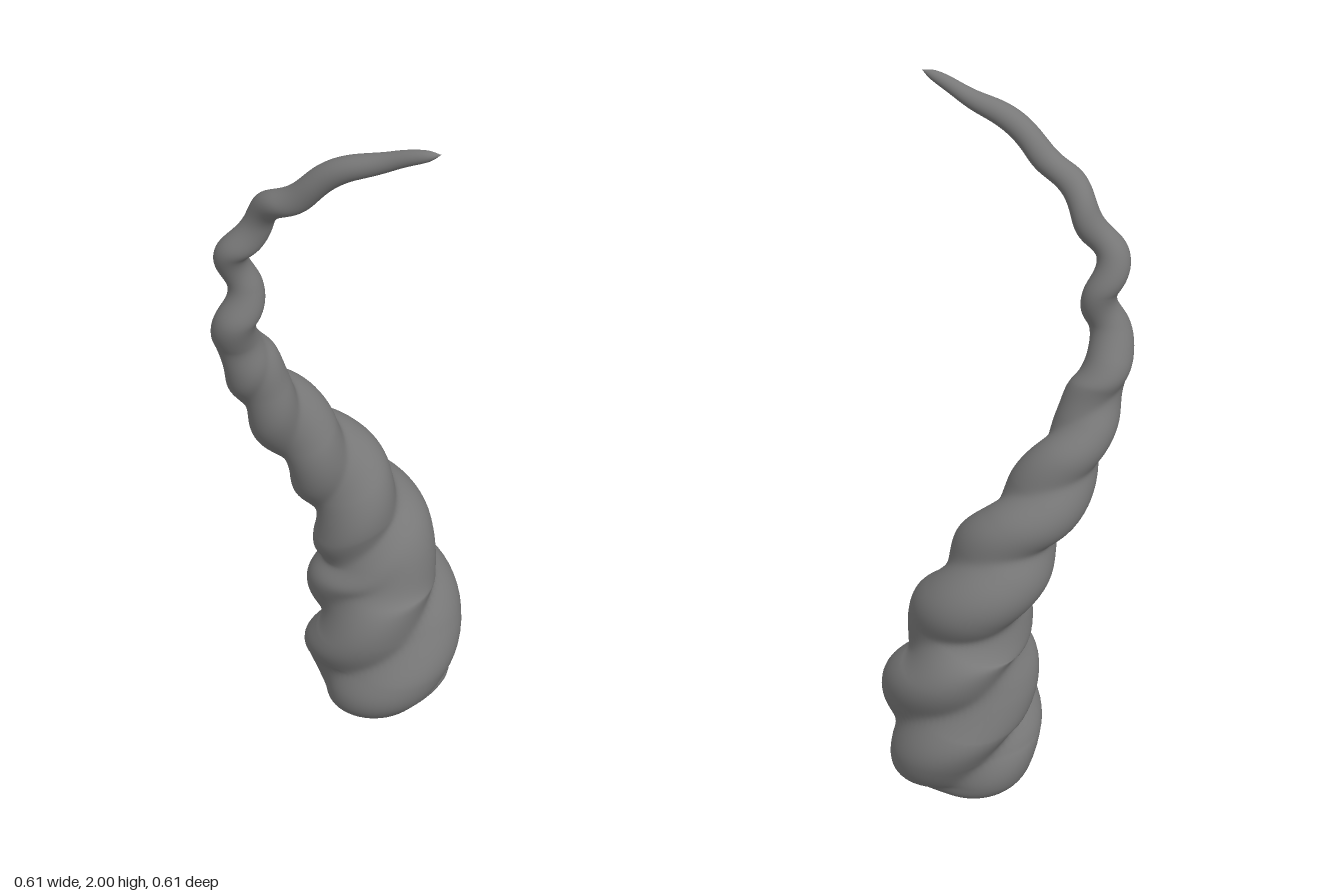
import * as THREE from 'three';

// Horn stations from base to tip: x, y, z of the spine, radius, twist (in ridge turns)
const STATIONS = [
  [0.06, 0.003, 0.01, 0.0, -3.4],
  [0.06, 0.02, 0.008, 0.12, -3.38],
  [0.065, 0.09, 0.005, 0.203, -3.28],
  [0.08, 0.2, 0.01, 0.228, -2.95],
  [0.088, 0.32, 0.005, 0.222, -2.5],
  [0.09, 0.45, -0.02, 0.203, -2],
  [0.088, 0.56, -0.026, 0.174, -1.5],
  [0.076, 0.67, -0.06, 0.161, -1],
  [0.042, 0.785, -0.1, 0.143, -0.5],
  [0.0, 0.88, -0.133, 0.122, 0],
  [-0.05, 0.97, -0.172, 0.112, 0.5],
  [-0.105, 1.07, -0.198, 0.1, 1],
  [-0.152, 1.16, -0.216, 0.084, 1.5],
  [-0.195, 1.26, -0.222, 0.074, 2],
  [-0.212, 1.34, -0.226, 0.062, 2.35],
  [-0.232, 1.42, -0.221, 0.054, 2.6],
  [-0.23, 1.51, -0.202, 0.045, 3],
  [-0.235, 1.62, -0.207, 0.042, 3.5],
  [-0.225, 1.71, -0.15, 0.038, 4],
  [-0.215, 1.79, -0.07, 0.036, 4.5],
  [-0.211, 1.855, 0.01, 0.034, 5],
  [-0.175, 1.92, 0.1, 0.03, 5.5],
  [-0.15, 1.955, 0.19, 0.022, 6],
  [-0.13, 1.985, 0.27, 0.014, 6.4],
  [-0.12, 1.997, 0.305, 0.0, 6.6],
];

const RINGS = 420;
const SIDES = 64;
const { smoothstep } = THREE.MathUtils;

// Rounded ridges with narrow grooves: 0 on a crest, negative in a groove
function ridges(count, a, twist) {
  const c = Math.cos((count / 2) * (a - Math.PI / 2) - twist * Math.PI);
  return Math.sqrt((c * c + 0.04) / 1.04) - 1;
}

function hornGeometry() {
  const curve = (pick) => new THREE.CatmullRomCurve3(
    STATIONS.map((s) => new THREE.Vector3(...pick(s))), false, 'catmullrom', 0.5);
  const spine = curve((s) => [s[0], s[1], s[2]]);
  const profile = curve((s) => [s[3], s[4], 0]);
  const up = new THREE.Vector3(0, 1, 0);
  const turn = new THREE.Quaternion();
  const positions = [];
  const indices = [];

  for (let i = 0; i <= RINGS; i++) {
    const t = i / RINGS;
    const centre = spine.getPoint(t);
    const { x: radius, y: twist } = profile.getPoint(t);
    turn.setFromUnitVectors(up, spine.getTangent(t));
    // Three broad ridges at the base become two, then a single corkscrew
    const middle = smoothstep(centre.y, 0.42, 0.62);
    const upper = smoothstep(centre.y, 1.15, 1.45);
    const base = 0.25 * smoothstep(centre.y, 0, 0.1);
    const fade = 1 - 0.7 * smoothstep(centre.z, -0.15, 0.15);
    const r = Math.max(radius, 0);
    const swing = 0.32 * r * fade * upper;
    const phase = Math.PI / 2 + twist * Math.PI * 2;

    for (let j = 0; j < SIDES; j++) {
      const a = (j / SIDES) * Math.PI * 2;
      const reach = r * (1 + base * (1 - middle) * ridges(3, a, twist)
        + 0.3 * middle * (1 - upper) * ridges(2, a, twist));
      const p = new THREE.Vector3(
        Math.sin(a) * reach + Math.sin(phase) * swing,
        0,
        Math.cos(a) * reach + Math.cos(phase) * swing,
      ).applyQuaternion(turn).add(centre);
      positions.push(p.x, Math.max(p.y, 0), p.z);

      if (i < RINGS) {
        const k = (j + 1) % SIDES;
        const b = i * SIDES;
        const n = b + SIDES;
        indices.push(b + j, b + k, n + j, b + k, n + k, n + j);
      }
    }
  }

  const geometry = new THREE.BufferGeometry();
  geometry.setAttribute('position', new THREE.Float32BufferAttribute(positions, 3));
  geometry.setIndex(indices);
  geometry.computeVertexNormals();
  return geometry;
}

export function createModel() {
  const group = new THREE.Group();
  group.name = 'twistedHorn';
  const horn = new THREE.Mesh(
    hornGeometry(),
    new THREE.MeshStandardMaterial({ color: 0x787878 }),
  );
  horn.name = 'horn';
  group.add(horn);
  return group;
}
